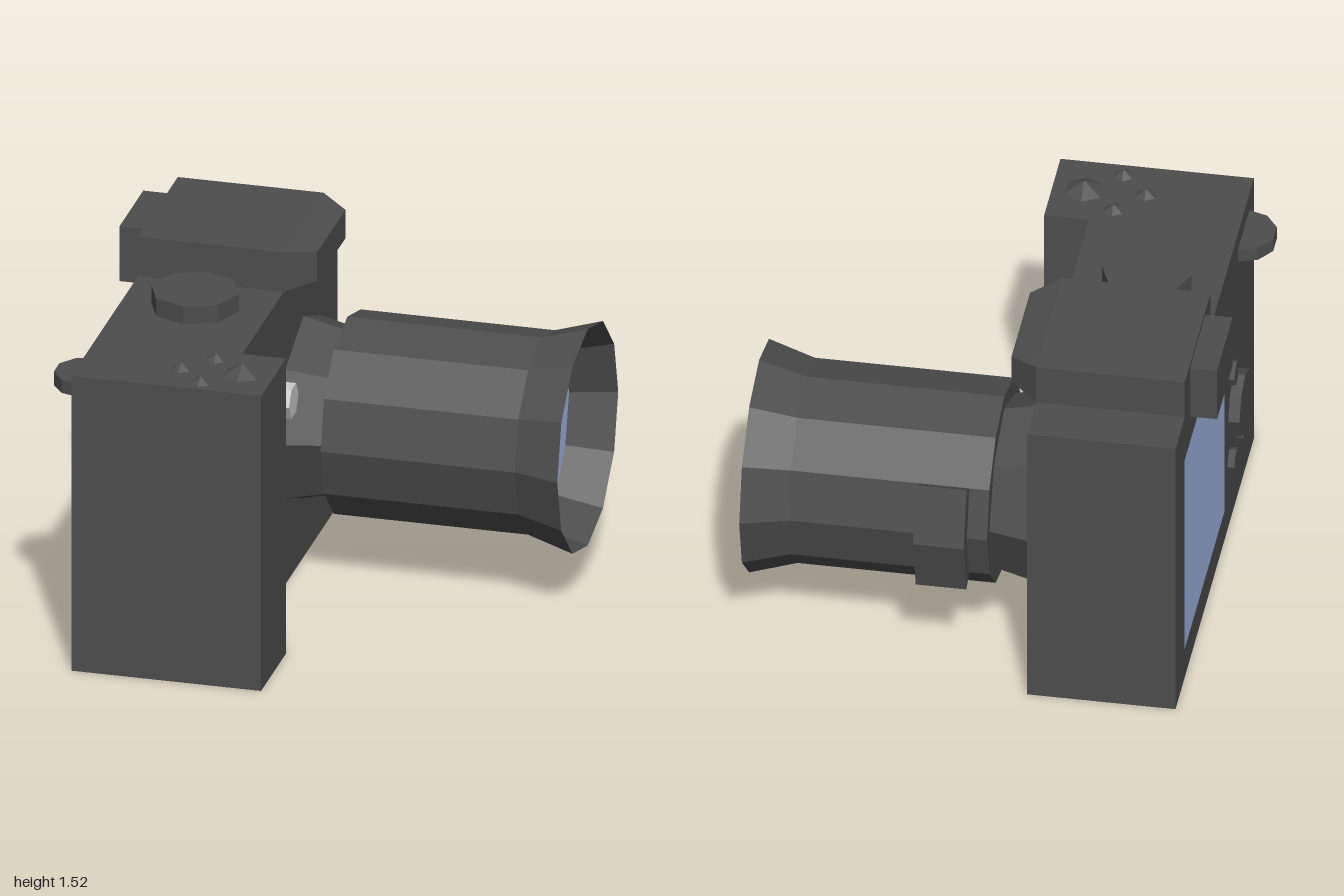
import * as THREE from 'three';

const dark = new THREE.MeshStandardMaterial({ color: 0x4d4d4d, flatShading: true });
const darkOpen = new THREE.MeshStandardMaterial({ color: 0x4d4d4d, flatShading: true, side: THREE.DoubleSide });
const blue = new THREE.MeshStandardMaterial({ color: 0xa5bbeb, side: THREE.DoubleSide });
const grey = new THREE.MeshStandardMaterial({ color: 0xcccccc, flatShading: true });

export function createModel() {
  const model = new THREE.Group();
  model.name = 'camera';

  const add = (name, geometry, material = dark, x = 0, y = 0, z = 0) => {
    const mesh = new THREE.Mesh(geometry, material);
    mesh.name = name;
    mesh.position.set(x, y, z);
    model.add(mesh);
    return mesh;
  };
  // Box given by its limits on each axis
  const box = (name, x0, x1, y0, y1, z0, z1) =>
    add(name, new THREE.BoxGeometry(x1 - x0, y1 - y0, z1 - z0), dark,
      (x0 + x1) / 2, (y0 + y1) / 2, (z0 + z1) / 2);
  // Cylinder or cone along x, radius r0 at x0 and r1 at x1
  const tubeX = (name, x0, x1, r0, r1, sides, y, z, material = dark, open = false) =>
    add(name, new THREE.CylinderGeometry(r1, r0, x1 - x0, sides, 1, open).rotateZ(-Math.PI / 2),
      material, (x0 + x1) / 2, y, z);

  const top = 1.345, back = -0.86, front = -0.23;

  // Body with the hand grip, an L-shaped outline raised upwards
  const outline = new THREE.Shape([
    [back, 0.98], [front, 0.98], [front, -0.565], [-0.04, -0.565], [-0.04, -0.97], [back, -0.97],
  ].map(([x, y]) => new THREE.Vector2(x, y)).reverse());
  add('body', new THREE.ExtrudeGeometry(outline, { depth: top, bevelEnabled: false }).rotateX(-Math.PI / 2));

  // Viewfinder housing with a tapered nose, and its eyepiece
  box('viewfinderHousing', back, front, top, 1.525, -0.75, -0.105);
  const nose = new THREE.BoxGeometry(0.12, 0.18, 0.645);
  const p = nose.attributes.position;
  for (let i = 0; i < p.count; i++) {
    if (p.getX(i) > 0) p.setXYZ(i, p.getX(i), p.getY(i) * 0.72, p.getZ(i) * 0.71);
  }
  nose.computeVertexNormals();
  add('viewfinderNose', nose, dark, -0.17, 1.435, -0.4275);
  box('eyepiece', -0.975, back, 1.255, 1.505, -0.62, -0.235);

  // Lens: mount, barrel, open hood and glass
  const ly = 0.685, lz = -0.425, lr = 0.433;
  tubeX('lensMount', front, -0.04, 0.415, 0.37, 8, ly, lz);
  tubeX('lensBarrel', -0.04, 0.8, lr, lr, 12, ly, lz);
  tubeX('lensHood', 0.8, 1, lr, 0.493, 12, ly, lz, darkOpen, true);
  add('lensGlass', new THREE.CircleGeometry(lr, 12).rotateY(Math.PI / 2), blue, 0.803, ly, lz);

  // Raised grip on the side of the barrel, following two of its facets
  const angles = [-1, 0, 1].map((k) => k * Math.PI / 6);
  const arc = (r) => angles.map((a) => new THREE.Vector2(r * Math.cos(a), r * Math.sin(a)));
  const tab = new THREE.Shape([...arc(0.513), ...arc(lr - 0.003).reverse()]);
  add('lensSideGrip', new THREE.ExtrudeGeometry(tab, { depth: 0.215, bevelEnabled: false })
    .rotateY(Math.PI / 2), dark, 0.045, ly, lz);

  // Release button beside the lens
  tubeX('lensReleaseButton', front, -0.14, 0.076, 0.076, 6, 0.93, 0.067, grey);

  // Dials on the top and at the back corner
  add('topDial', new THREE.CylinderGeometry(0.19, 0.19, 0.08, 8), dark, -0.547, top + 0.04, 0.14);
  add('thumbDial', new THREE.CylinderGeometry(0.145, 0.145, 0.06, 10), dark, -0.855, 1.23, 0.715);

  // Pointed buttons on top of the grip
  const bumps = [[-0.32, 0.65, 0.046, 0.03], [-0.435, 0.78, 0.046, 0.03],
    [-0.32, 0.9, 0.046, 0.03], [-0.175, 0.77, 0.088, 0.048]];
  for (const [x, z, r, h] of bumps) {
    add('topButton', new THREE.ConeGeometry(r, h, 6), dark, x, top + h / 2, z);
  }

  // Rear screen, control pad and small buttons
  add('screen', new THREE.PlaneGeometry(0.99, 0.975).rotateY(-Math.PI / 2), blue, back - 0.003, 0.648, -0.275);
  tubeX('controlPad', -0.908, back, 0.145, 0.145, 8, 0.545, 0.475);
  for (const [y, z] of [[0.777, 0.365], [0.325, 0.365], [0.325, 0.58]]) {
    tubeX('rearButton', -0.89, back, 0.055, 0.055, 8, y, z);
  }

  return model;
}
